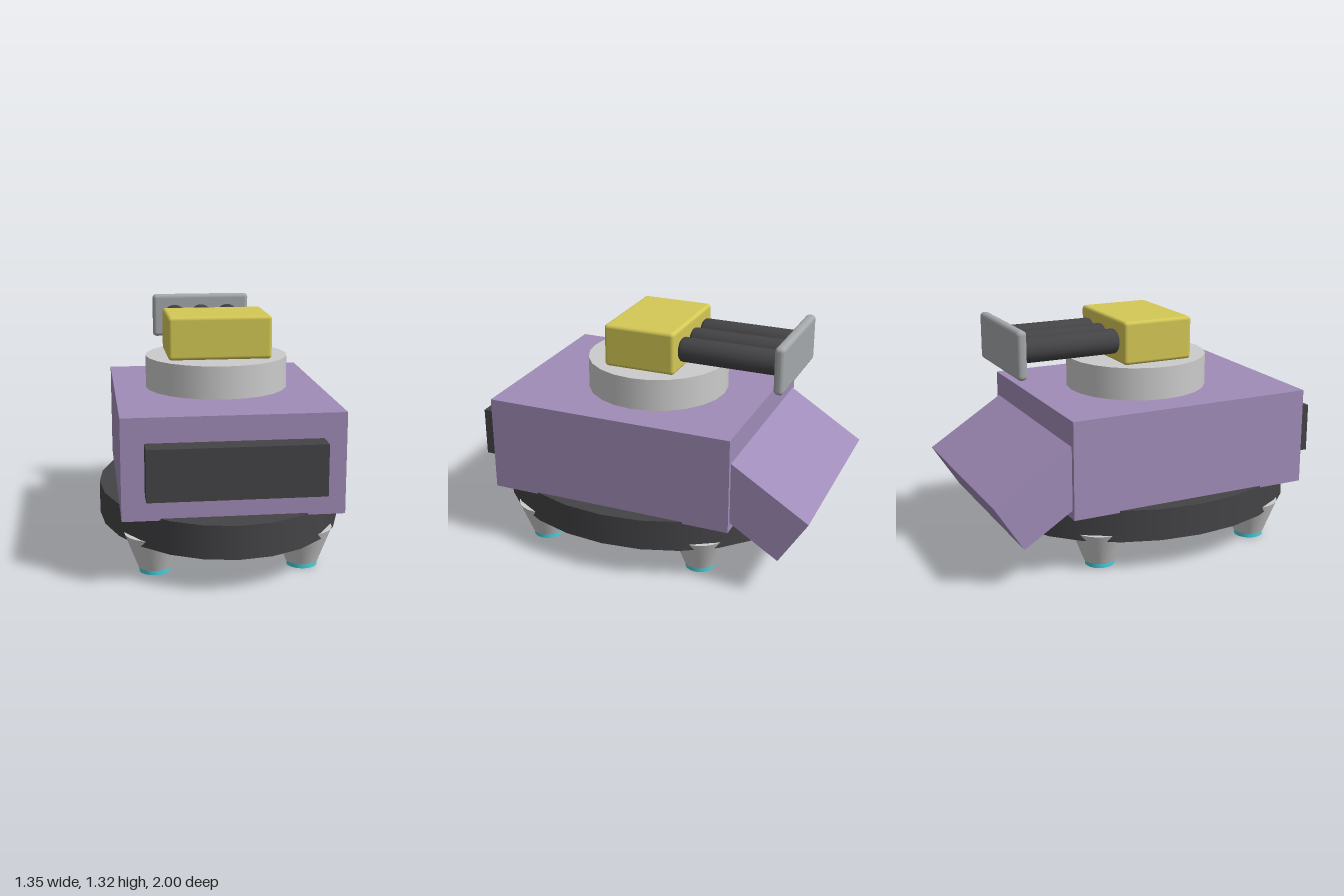
import * as THREE from 'three';
import { toCreasedNormals } from 'three/addons/utils/BufferGeometryUtils.js';
import { RoundedBoxGeometry } from 'three/addons/geometries/RoundedBoxGeometry.js';

const material = (color) => new THREE.MeshStandardMaterial({ color });

export function createModel() {
  const model = new THREE.Group();
  const purple = material(0xa08cb8);
  const dark = material(0x444447);
  const grey = material(0xcccccc);
  const silver = material(0xa5a8ab);
  const yellow = material(0xd4c855);
  const cyan = material(0x45d0dc);

  const add = (name, geometry, mat, x, y, z) => {
    const mesh = new THREE.Mesh(geometry, mat);
    mesh.name = name;
    mesh.position.set(x, y, z);
    model.add(mesh);
    return mesh;
  };

  // Oval base skirt
  const skirt = add('baseSkirt', new THREE.CylinderGeometry(1, 1, 0.18, 24), dark, 0, 0.27, 0.133);
  skirt.scale.set(0.675, 1, 0.867);

  // Tapered thrusters with glowing tips
  for (const x of [-0.4, 0.4]) {
    for (const z of [0.62, -0.347]) {
      add('thruster', new THREE.CylinderGeometry(0.16, 0.087, 0.19, 24), grey, x, 0.12, z);
      add('thrusterGlow', new THREE.CylinderGeometry(0.082, 0.082, 0.025, 24), cyan, x, 0.0125, z);
    }
  }

  // Hull with front panel
  add('hull', new THREE.BoxGeometry(1.16, 0.54, 1.41), purple, 0, 0.62, 0.135);
  add('frontPanel', new THREE.BoxGeometry(0.92, 0.272, 0.15), dark, 0, 0.621, 0.89);

  // Rear slab sloping down, its inner end buried in the hull
  const slope = 0.56, length = 0.6, thickness = 0.297;
  const slab = add('rearSlab', new THREE.BoxGeometry(1.11, thickness, length), purple,
    0,
    0.48 + Math.sin(slope) * length / 2 - Math.cos(slope) * thickness / 2,
    -1 + Math.cos(slope) * length / 2 + Math.sin(slope) * thickness / 2);
  slab.rotation.x = -slope;

  // Turret ring and housing
  add('turretRing', new THREE.CylinderGeometry(0.4, 0.4, 0.18, 24), grey, 0, 0.98, 0.07);
  add('turretHousing', new RoundedBoxGeometry(0.575, 0.24, 0.412, 3, 0.02), yellow, 0, 1.19, 0.069);

  // Three barrels with softened ends
  const half = 0.285, radius = 0.069, bevel = 0.02;
  const profile = [new THREE.Vector2(0, -half)];
  for (const [side, start] of [[-1, 0], [1, 1]]) {
    for (let i = 0; i <= 4; i++) {
      const a = (start ? 4 - i : i) / 4 * Math.PI / 2;
      profile.push(new THREE.Vector2(radius - bevel + bevel * Math.sin(a), side * (half - bevel + bevel * Math.cos(a))));
    }
  }
  profile.push(new THREE.Vector2(0, half));
  const barrelGeometry = toCreasedNormals(new THREE.LatheGeometry(profile, 24), 0.6);
  for (const x of [-0.167, 0, 0.167]) {
    add('barrel', barrelGeometry, dark, x, 1.187, -0.42).rotation.x = Math.PI / 2;
  }

  // Plate closing the barrel ends
  add('endPlate', new RoundedBoxGeometry(0.605, 0.265, 0.056, 3, 0.024), silver, 0, 1.187, -0.728);

  return model;
}
